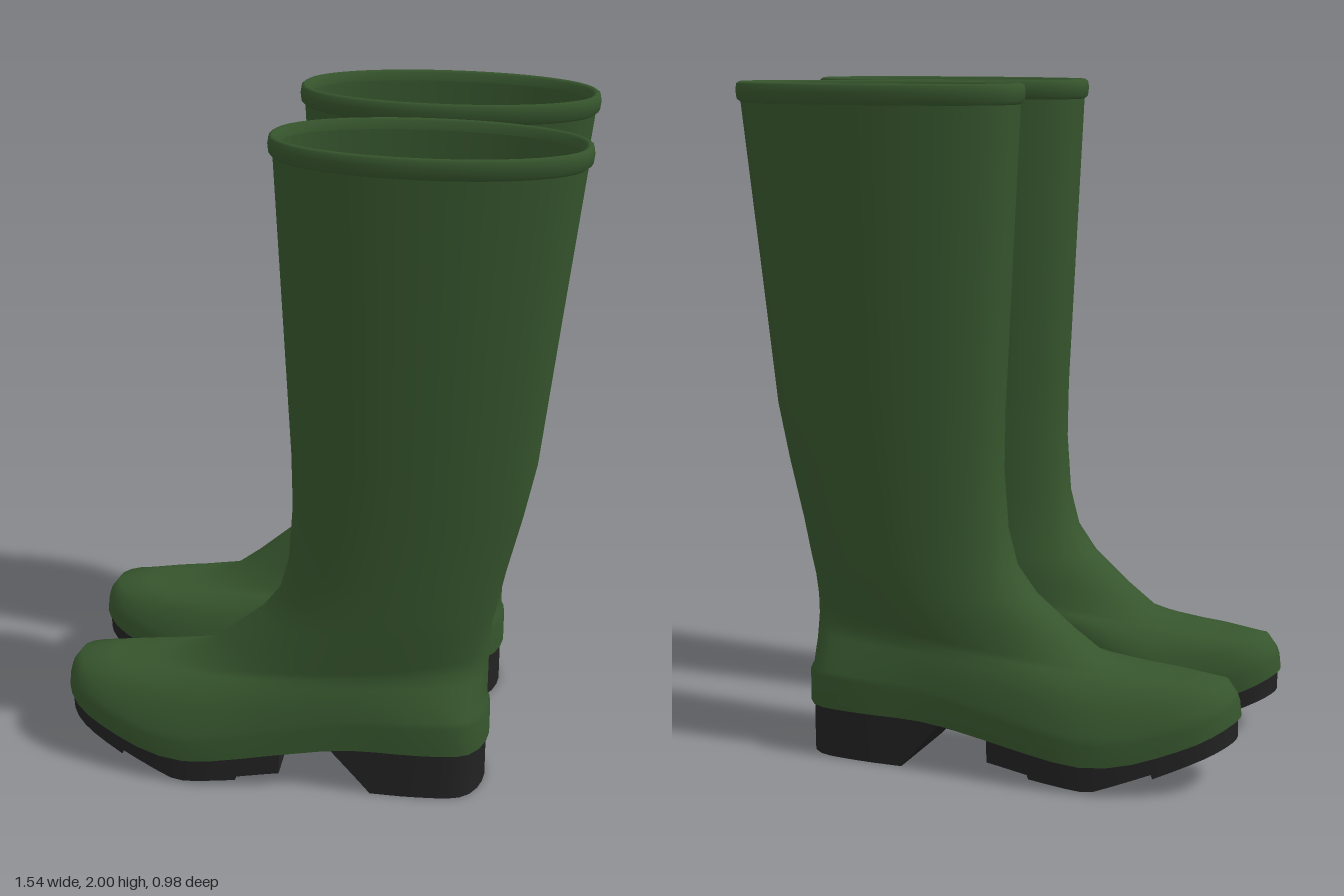
import * as THREE from 'three';
import { toCreasedNormals } from 'three/addons/utils/BufferGeometryUtils.js';

const rubber = new THREE.MeshStandardMaterial({ color: 0x36552d });
rubber.name = 'green rubber';
const tread = new THREE.MeshStandardMaterial({ color: 0x232223 });
tread.name = 'black sole';

const N = 48; // points around the boot
const lerp = THREE.MathUtils.lerp;

// Foot outline in plan: z at even angles, toe -> outer side -> heel -> inner side
const outline = new THREE.CatmullRomCurve3(
  [0.24, 0.36, 0.435, 0.487, 0.47, 0.455, 0.455, 0.425, 0.29,
    0.155, 0.13, 0.125, 0.10, 0.04, 0.085, 0.14].map((z) => new THREE.Vector3(0, 0, z)),
  true, 'catmullrom', 0.5);
const footZ = (t) => outline.getPoint(t).z;

// Piecewise linear profile
function profile(points, x) {
  if (x <= points[0][0]) return points[0][1];
  for (let i = 1; i < points.length; i++) {
    const [x0, y0] = points[i - 1], [x1, y1] = points[i];
    if (x <= x1) return lerp(y0, y1, (x - x0) / (x1 - x0));
  }
  return points[points.length - 1][1];
}

// Line where the rubber upper meets the sole
const welt = [[-0.775, 0.2], [-0.7, 0.162], [-0.6, 0.125], [-0.5, 0.095], [-0.4, 0.08], [-0.3, 0.087],
  [-0.2, 0.1], [0, 0.132], [0.1, 0.147], [0.2, 0.15], [0.545, 0.15]];
// Tread underside: stepped forefoot, arch, heel block
const underside = [[-0.765, 0.135], [-0.57, 0.055], [-0.566, 0.068], [-0.41, 0.012], [-0.37, 0.008],
  [-0.21, 0.022], [-0.206, 0.034], [-0.077, 0.052], [-0.075, 0.122], [0, 0.13], [0.08, 0.14], [0.2, 0], [0.535, 0]];

// Rows: front x, front y, back x, back y, half width, roundness (0 foot outline, 1 oval), welt dip kept
const outerRows = [
  [-0.775, 0.2, 0.545, 0.15, 0, 0, 1],
  [-0.77, 0.245, 0.545, 0.25, 0, 0, 1],
  [-0.762, 0.268, 0.536, 0.265, 0.165, 0.08, 1],
  [-0.735, 0.305, 0.535, 0.31, 0.165, 0.35, 0.7],
  [-0.64, 0.314, 0.535, 0.36, 0.16, 0.75, 0.4],
  [-0.5, 0.316, 0.535, 0.4, 0.153, 1, 0.1],
  [-0.38, 0.338, 0.535, 0.44, 0.152, 1, 0],
  [-0.28, 0.41, 0.537, 0.48, 0.152, 1, 0],
  [-0.16, 0.51, 0.542, 0.53, 0.152, 1, 0],
  [-0.1, 0.59, 0.555, 0.59, 0.153, 1, 0],
  [-0.07, 0.7, 0.577, 0.7, 0.156, 1, 0],
  [-0.057, 0.88, 0.62, 0.88, 0.163, 1, 0],
  [-0.06, 1.05, 0.655, 1.05, 0.17, 1, 0],
  [-0.083, 1.5, 0.705, 1.5, 0.186, 1, 0],
  [-0.106, 1.94, 0.755, 1.94, 0.201, 1, 0],
];
const rimRows = [
  [-0.106, 1.94, 0.755, 1.94, 0.201, 1, 0],
  [-0.117, 1.95, 0.767, 1.95, 0.209, 1, 0],
  [-0.12, 1.975, 0.77, 1.975, 0.212, 1, 0],
  [-0.117, 1.994, 0.767, 1.994, 0.209, 1, 0],
  [-0.108, 2, 0.758, 2, 0.201, 1, 0],
  [-0.096, 1.994, 0.746, 1.994, 0.191, 1, 0],
  [-0.09, 1.97, 0.74, 1.97, 0.186, 1, 0],
];
const liningRows = [
  [-0.09, 1.97, 0.74, 1.97, 0.186, 1, 0],
  [-0.067, 1.5, 0.69, 1.5, 0.171, 1, 0],
  [-0.043, 1.05, 0.64, 1.05, 0.155, 1, 0],
  [-0.035, 0.75, 0.57, 0.75, 0.141, 1, 0],
  [0.0, 0.5, 0.53, 0.5, 0.13, 1, 0],
  [0.06, 0.3, 0.528, 0.3, 0.115, 1, 0],
  [0.11, 0.15, 0.525, 0.15, 0.1, 1, 0],
];

function ring([xf, yf, xb, yb, half, round, dip]) {
  const points = [];
  const shift = Math.min(0, (xf + 0.1) * 0.06); // toe leans to the inside
  for (let i = 0; i < N; i++) {
    const a = (i / N) * Math.PI * 2;
    const u = (1 - Math.cos(a)) / 2, s = Math.sin(a);
    const x = lerp(xf, xb, u);
    const oval = 0.28 + shift * (1 - u) + half * Math.sign(s) * Math.abs(s) ** 0.88;
    const sag = profile(welt, x) - lerp(profile(welt, xf), profile(welt, xb), u);
    points.push([x, lerp(yf, yb, u) + sag * dip, lerp(footZ(i / N), oval, round)]);
  }
  return points;
}

// Skin a list of closed rings; side = -1 mirrors the result in z
function loft(rings, side) {
  const n = rings[0].length, index = [];
  for (let j = 0; j < rings.length - 1; j++) {
    for (let i = 0; i < n; i++) {
      const a = j * n + i, b = j * n + (i + 1) % n, c = a + n, d = b + n;
      if (side > 0) index.push(a, b, c, b, d, c);
      else index.push(a, c, b, b, c, d);
    }
  }
  const geometry = new THREE.BufferGeometry();
  const positions = rings.flat().flatMap(([x, y, z]) => [x, y, z * side]);
  geometry.setAttribute('position', new THREE.Float32BufferAttribute(positions, 3));
  geometry.setIndex(index);
  geometry.computeVertexNormals();
  return geometry;
}

// Sole as four-cornered slices from toe to heel
function soleRings() {
  const x0 = -0.765, x1 = 0.535;
  const stations = underside.map((p) => p[0]);
  for (let i = 1; i < 28; i++) stations.push(lerp(x0, x1, (1 - Math.cos((i / 28) * Math.PI)) / 2));
  stations.sort((a, b) => a - b);
  return stations.map((x) => {
    const u = THREE.MathUtils.clamp((x - x0) / (x1 - x0), 0, 1);
    const t = Math.acos(1 - 2 * u) / (Math.PI * 2);
    const zo = footZ(t), zi = footZ(1 - t), mid = (zo + zi) / 2;
    const outer = lerp(mid, zo, 0.97), inner = lerp(mid, zi, 0.97);
    const low = profile(underside, x), high = profile(welt, x) + 0.013;
    return [[x, low, outer], [x, low, inner], [x, high, inner], [x, high, outer]];
  });
}

function boot(side) {
  const group = new THREE.Group();
  group.name = side > 0 ? 'frontBoot' : 'backBoot';
  const add = (name, geometry, material) => {
    const mesh = new THREE.Mesh(geometry, material);
    mesh.name = name;
    group.add(mesh);
  };
  const outer = outerRows.map(ring);
  // narrow lip turned in under the upper
  const lip = outer[0].map(([x, y, z]) => [-0.1 + (x + 0.1) * 0.95, y, 0.275 + (z - 0.275) * 0.88]);
  add('upper', loft(outer, side), rubber);
  add('weltLip', loft([lip, outer[0]], side), rubber);
  add('topRim', loft(rimRows.map(ring), side), rubber);
  add('lining', loft(liningRows.map(ring), side), rubber);
  add('sole', toCreasedNormals(loft(soleRings(), side), 0.5), tread);
  return group;
}

export function createModel() {
  const model = new THREE.Group();
  model.name = 'rubberBoots';
  model.add(boot(1), boot(-1));
  return model;
}
